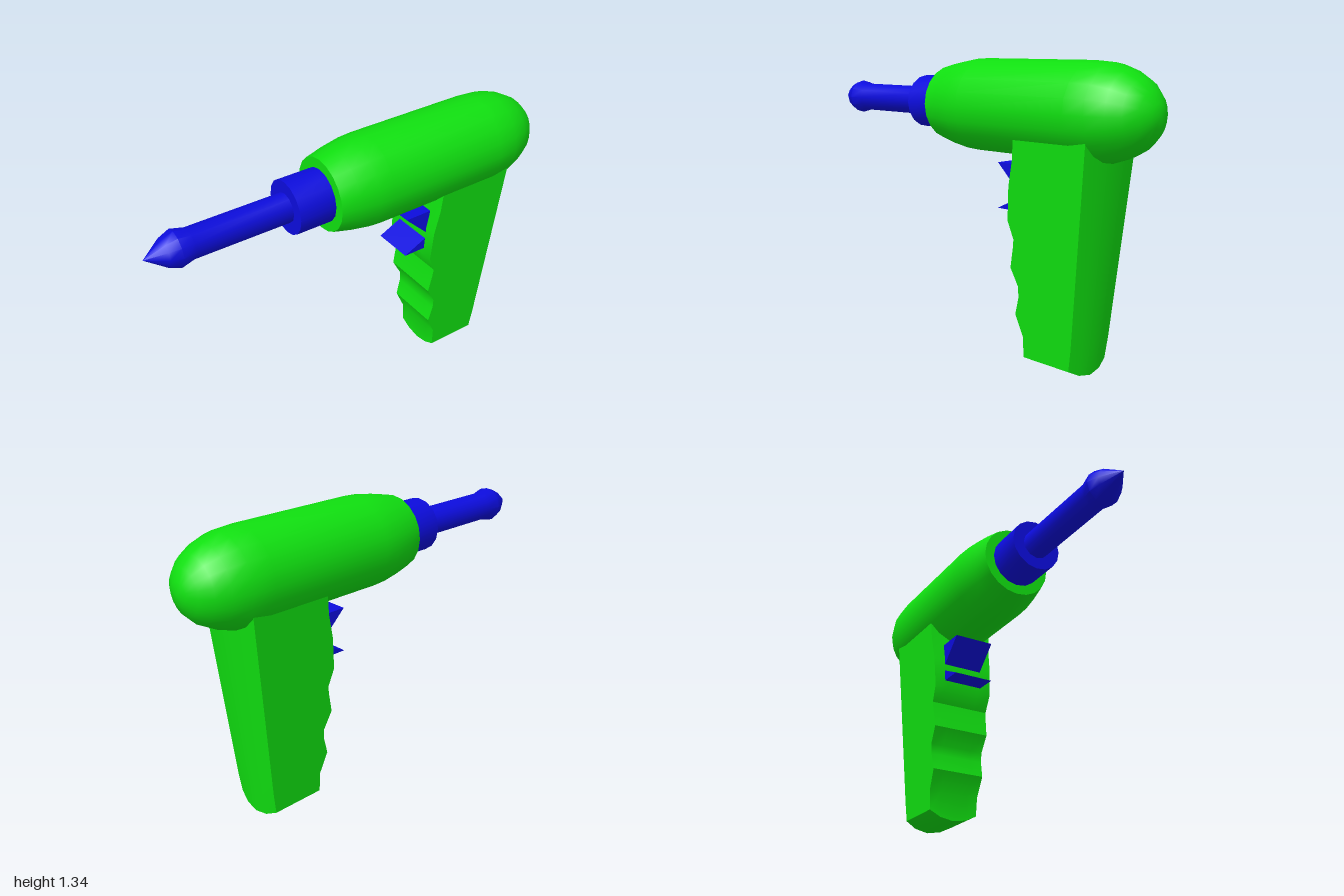
import * as THREE from 'three';
import { toCreasedNormals } from 'three/addons/utils/BufferGeometryUtils.js';

const green = new THREE.MeshStandardMaterial({ color: 0x10e010 });
const blue = new THREE.MeshStandardMaterial({ color: 0x0c0cdd });
const AXIS_Y = 1.13;

// Turned part around the horizontal barrel axis; profile holds [x, radius]
function turned(name, profile, sides, material, crease) {
  const pts = profile.map(([x, r]) => new THREE.Vector2(r, x));
  const geo = new THREE.LatheGeometry(pts, sides);
  geo.rotateZ(-Math.PI / 2);
  geo.translate(0, AXIS_Y, 0);
  const mesh = new THREE.Mesh(toCreasedNormals(geo, crease), material);
  mesh.name = name;
  return mesh;
}

// Tapered grip lofted from horizontal sections, with finger grooves at the front
function makeHandle() {
  // [y, front x]
  const rows = [
    [1.1, 0.39], [0.92, 0.375], [0.8, 0.35], [0.65, 0.34], [0.57, 0.372], [0.53, 0.367],
    [0.44, 0.35], [0.36, 0.393], [0.31, 0.393], [0.23, 0.372], [0.135, 0.414], [0, 0.416],
  ];
  const across = [-1, -0.55, 0, 0.55, 1];
  const m = across.length, n = m * 2;
  const pos = [], idx = [];

  rows.forEach(([y, front], i) => {
    const w = 0.125 + Math.max(0, y - 0.04) * 0.047;
    const back = 0.69 + y * 0.098;
    const last = i === rows.length - 1;
    const lift = (t) => (last ? 0.04 * t * t : 0); // rounded underside
    for (const t of across) pos.push(front, y + lift(t), t * w);
    for (const t of [...across].reverse()) pos.push(back - 0.02 * t * t, y + lift(t), t * w);
  });

  for (let i = 0; i < rows.length - 1; i++) {
    for (let j = 0; j < n; j++) {
      const a = i * n + j, b = i * n + ((j + 1) % n);
      idx.push(a, a + n, b, b, a + n, b + n);
    }
  }
  // Underside
  const base = (rows.length - 1) * n;
  for (let j = 0; j < m - 1; j++) {
    const f0 = base + j, f1 = f0 + 1, b0 = base + n - 1 - j, b1 = b0 - 1;
    idx.push(f0, b0, f1, f1, b0, b1);
  }

  const geo = new THREE.BufferGeometry();
  geo.setAttribute('position', new THREE.Float32BufferAttribute(pos, 3));
  geo.setIndex(idx);
  const mesh = new THREE.Mesh(toCreasedNormals(geo, 0.5), green);
  mesh.name = 'handle';
  return mesh;
}

// Trigger with a notch between two pointed lips
function makeTrigger() {
  const outline = [[0.23, 0.89], [0.365, 0.76], [0.345, 0.74], [0.23, 0.685], [0.42, 0.685], [0.42, 0.89]];
  const shape = new THREE.Shape(outline.map(([x, y]) => new THREE.Vector2(x, y)));
  const geo = new THREE.ExtrudeGeometry(shape, { depth: 0.2, bevelEnabled: false });
  geo.translate(0, 0, -0.1);
  const mesh = new THREE.Mesh(geo, blue);
  mesh.name = 'trigger';
  return mesh;
}

export function createModel() {
  const model = new THREE.Group();
  model.name = 'toyDrill';
  model.add(
    turned('body', [
      [-0.175, 0], [-0.175, 0.172], [-0.09, 0.192], [0, 0.207], [0.07, 0.211], [0.68, 0.211], [0.78, 0.204],
      [0.86, 0.178], [0.92, 0.145], [0.965, 0.1], [0.99, 0.05], [1, 0],
    ], 20, green, 0.9),
    turned('chuck', [[-0.35, 0], [-0.35, 0.125], [-0.17, 0.125], [-0.17, 0]], 16, blue, 0.7),
    turned('bit', [
      [-1, 0], [-0.91, 0.064], [-0.86, 0.083], [-0.8, 0.068], [-0.34, 0.068], [-0.34, 0],
    ], 12, blue, 0.6),
    makeHandle(),
    makeTrigger(),
  );
  return model;
}
